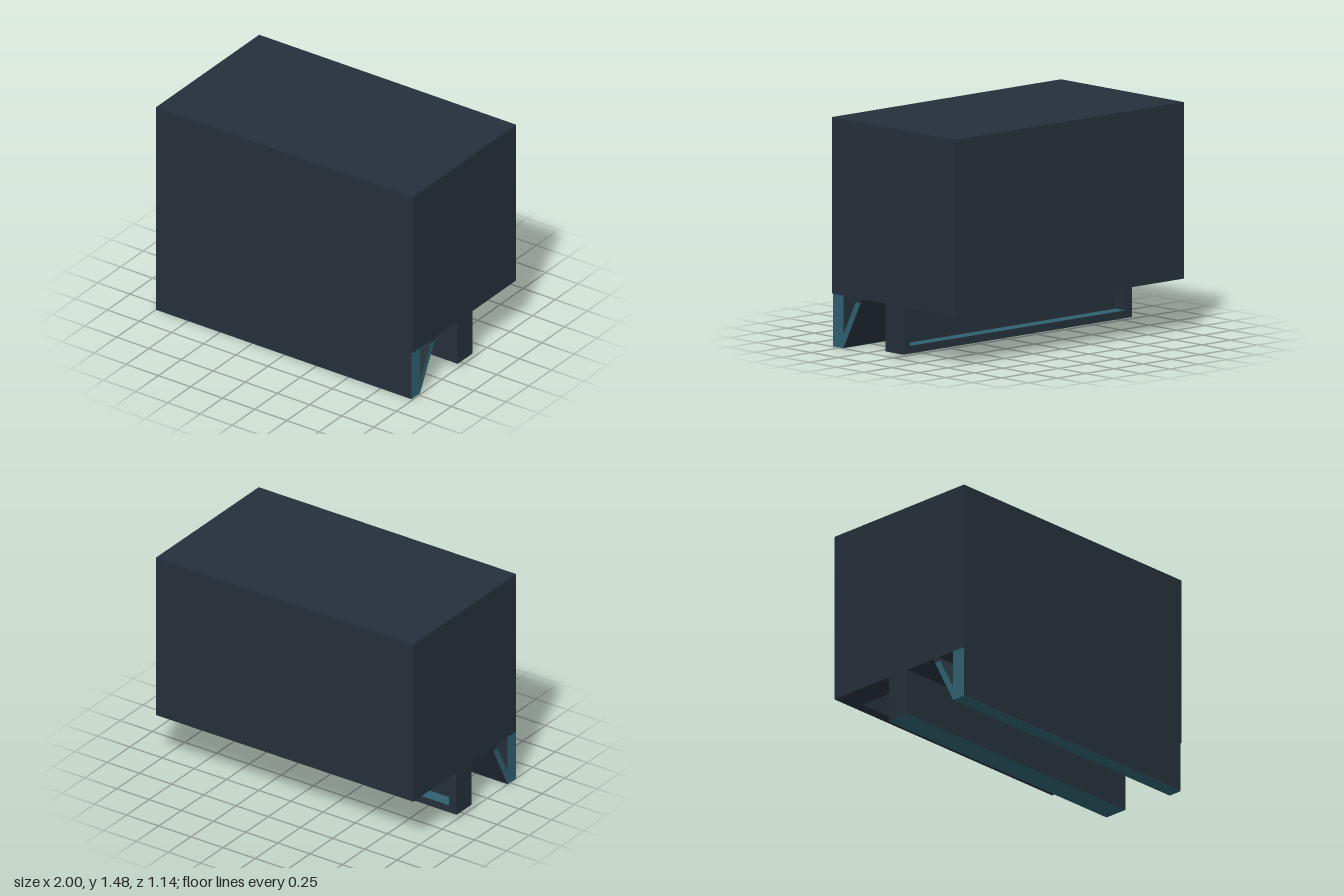
import * as THREE from 'three';

export function createModel() {
  const model = new THREE.Group();
  const slate = new THREE.MeshStandardMaterial({ color: 0x25303a });
  slate.name = 'dark slate';
  const teal = new THREE.MeshStandardMaterial({ color: 0x2f6070 });
  teal.name = 'teal';

  function add(name, geometry, material, parent = model) {
    const mesh = new THREE.Mesh(geometry, material);
    mesh.name = name;
    parent.add(mesh);
    return mesh;
  }

  // Box given by its minimum and maximum corners
  function block(name, [x0, y0, z0], [x1, y1, z1], material, parent) {
    const geometry = new THREE.BoxGeometry(x1 - x0, y1 - y0, z1 - z0);
    geometry.translate((x0 + x1) / 2, (y0 + y1) / 2, (z0 + z1) / 2);
    return add(name, geometry, material, parent);
  }

  const outline = (points) => points.map(([a, b]) => new THREE.Vector2(a, b));

  // Cross-section in (z, y), extruded along x from x1 down to x0
  function section(name, points, x0, x1, material, parent) {
    const geometry = new THREE.ExtrudeGeometry(new THREE.Shape(outline(points)), {
      depth: x1 - x0, bevelEnabled: false,
    });
    geometry.rotateY(-Math.PI / 2).translate(x1, 0, 0);
    return add(name, geometry, material, parent);
  }

  // Main body: solid upper block over a slab with a rectangular pocket
  const body = new THREE.Group();
  body.name = 'body';
  model.add(body);
  const pocketTop = 0.535;
  block('upperBody', [-1, pocketTop, -0.57], [1, 1.48, 0.57], slate, body);
  const floor = new THREE.Shape(outline([[-1, -0.57], [1, -0.57], [1, 0.57], [-1, 0.57]]));
  floor.holes.push(new THREE.Path(outline([[-0.82, -0.5], [-0.82, -0.07], [-0.48, -0.07], [-0.48, -0.5]])));
  const slab = new THREE.ExtrudeGeometry(floor, { depth: pocketTop - 0.34, bevelEnabled: false });
  slab.rotateX(Math.PI / 2).translate(0, pocketTop, 0);
  add('pocketedFloor', slab, slate, body);

  // Front skirt: hanging board and sloping brace, with teal cut ends
  const skirt = new THREE.Group();
  skirt.name = 'frontSkirt';
  model.add(skirt);
  section('skirtBoardAndBrace', [
    [0.57, 0], [0.57, 0.34], [0.475, 0.34], [0.475, 0.09],
    [0.361, 0.31], [0.315, 0.31], [0.475, 0],
  ], -1, 0.99, [teal, slate], skirt);
  section('braceTop', [[0.315, 0.31], [0.361, 0.31], [0.346, 0.34], [0.3, 0.34]], -1, 0.99, slate, skirt);
  block('skirtUnderside', [-1, -0.002, 0.475], [0.99, 0.001, 0.57], teal, skirt);

  // Centre beam: web, end plates and a bottom flange with teal faces
  const beam = new THREE.Group();
  beam.name = 'centreBeam';
  model.add(beam);
  block('web', [-0.94, 0.08, 0], [0.94, 0.34, 0.075], slate, beam);
  for (const side of [-1, 1]) {
    const a = side * 0.94, b = side;
    block('endPlate', [Math.min(a, b), 0.03, -0.09], [Math.max(a, b), 0.34, 0.075],
      [slate, slate, slate, teal, slate, slate], beam);
  }
  block('bottomFlange', [-0.94, 0.03, -0.09], [0.94, 0.08, 0.075],
    [slate, slate, teal, teal, slate, slate], beam);

  return model;
}
